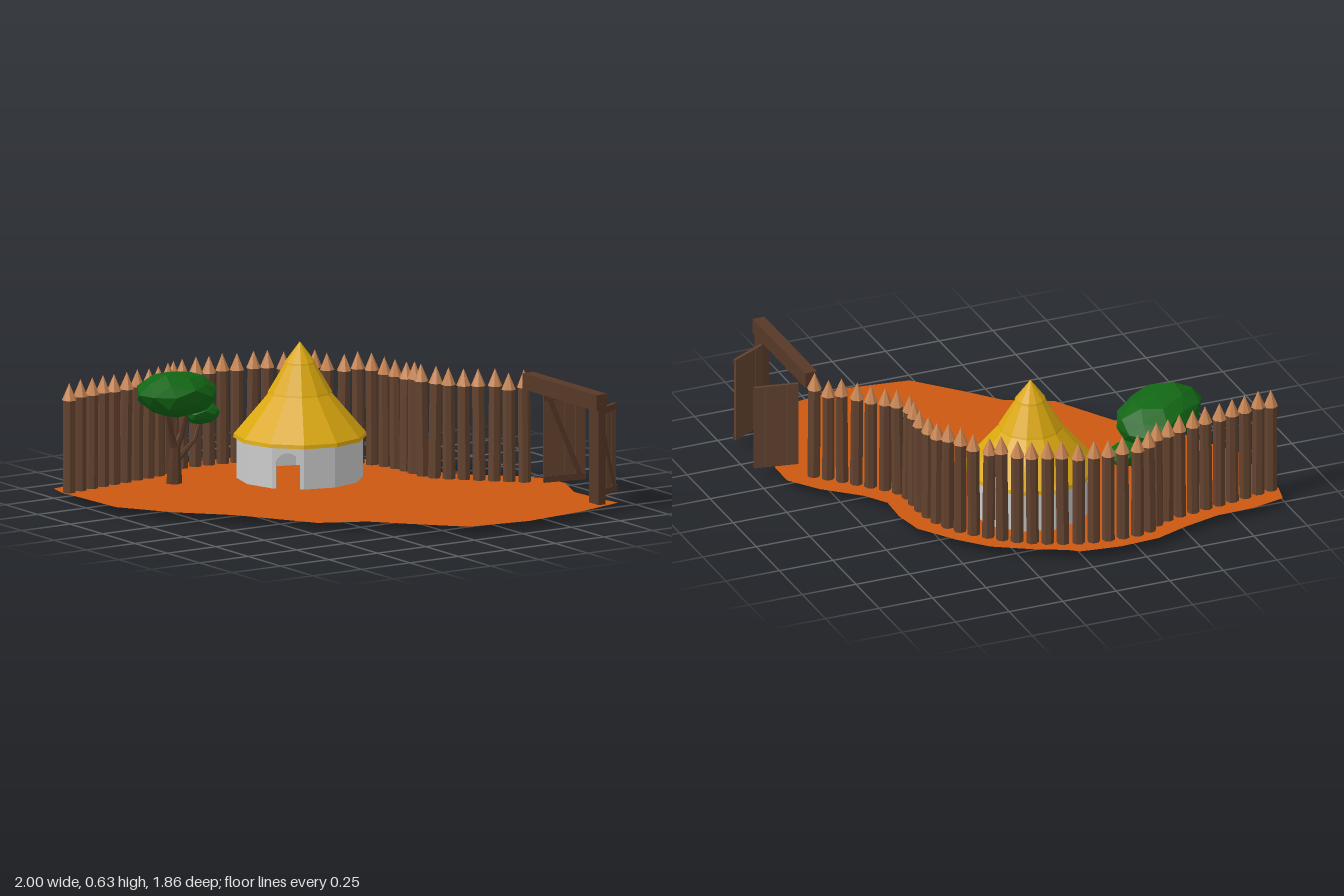
import * as THREE from 'three';

const mat = (color, side = THREE.FrontSide) =>
  new THREE.MeshStandardMaterial({ color, flatShading: true, side });
const WOOD = mat(0x64432f), DARK_WOOD = mat(0x573827), CUT_WOOD = mat(0xc98552);
const STRAW = mat(0xdba80f, THREE.DoubleSide), STONE = mat(0xcccccc);
const LEAF = mat(0x126615), EARTH = mat(0xcc5810, THREE.DoubleSide);
const GROUND_Y = 0.033;

let seed = 7;
const rand = () => (seed = (seed * 16807) % 2147483647) / 2147483647;

function add(parent, name, geometry, material, x = 0, y = 0, z = 0) {
  const m = new THREE.Mesh(geometry, material);
  m.name = name;
  m.position.set(x, y, z);
  parent.add(m);
  return m;
}

function group(parent, name, x = 0, y = 0, z = 0) {
  const g = new THREE.Group();
  g.name = name;
  g.position.set(x, y, z);
  parent.add(g);
  return g;
}

// Irregular patch of earth, outline given as x, z
function buildGround(parent) {
  const outline = [
    [-0.98, -0.78], [-0.83, -0.815], [-0.66, -0.82], [-0.49, -0.865], [-0.34, -0.92],
    [-0.16, -0.93], [0.02, -0.905], [0.065, -0.87], [0.19, -0.81], [0.355, -0.71],
    [0.465, -0.59], [0.575, -0.43], [0.6, -0.29], [0.595, -0.15], [0.66, -0.05],
    [0.81, 0.085], [0.905, 0.215], [0.905, 0.35], [0.835, 0.52], [0.845, 0.7],
    [0.865, 0.815], [0.63, 0.885], [0.33, 0.93], [0.045, 0.89], [-0.13, 0.7],
    [-0.255, 0.555], [-0.45, 0.46], [-0.65, 0.125], [-0.835, -0.07], [-0.98, -0.3], [-1, -0.69],
  ];
  const shape = new THREE.Shape(outline.map(([x, z]) => new THREE.Vector2(x, -z)));
  add(parent, 'ground', new THREE.ShapeGeometry(shape).rotateX(-Math.PI / 2), EARTH, 0, GROUND_Y, 0);
}

// Palisade: sharpened stakes spaced along a winding path
function buildPalisade(parent) {
  const fence = group(parent, 'palisade');
  const path = new THREE.CatmullRomCurve3([
    [-0.968, -0.677], [-0.785, -0.71], [-0.595, -0.74], [-0.465, -0.762], [-0.395, -0.787],
    [-0.342, -0.83], [-0.278, -0.848], [-0.145, -0.842], [-0.016, -0.82], [0.102, -0.773],
    [0.225, -0.703], [0.326, -0.612], [0.412, -0.516], [0.471, -0.398], [0.492, -0.265],
    [0.492, -0.131], [0.513, -0.067], [0.6, 0.03], [0.684, 0.12], [0.781, 0.217],
  ].map(([x, z]) => new THREE.Vector3(x, 0, z)));
  const stakeGeo = new THREE.CylinderGeometry(0.027, 0.028, 0.42, 7).translate(0, 0.21, 0);
  const tipGeo = new THREE.ConeGeometry(0.032, 0.075, 7).translate(0, 0.0375, 0);
  path.getSpacedPoints(36).forEach((p) => {
    const stake = group(fence, 'stake', p.x, 0.028, p.z);
    stake.rotation.set((rand() - 0.5) * 0.025, rand() * Math.PI * 2, (rand() - 0.5) * 0.025);
    stake.scale.y = 0.985 + rand() * 0.04;
    add(stake, 'stakeLog', stakeGeo, WOOD);
    add(stake, 'stakeTip', tipGeo, CUT_WOOD, 0, 0.41, 0);
  });
}

// Twelve-sided stone hut with an arched doorway and a tiered straw roof
function buildHut(parent) {
  const hut = group(parent, 'hut', 0.035, 0, -0.4);
  const R = 0.272, SIDES = 12, H = 0.2, T = 0.012;
  const half = R * Math.sin(Math.PI / SIDES);
  const apothem = R * Math.cos(Math.PI / SIDES);
  for (let i = 0; i < SIDES; i++) {
    const a = ((i + 0.5) / SIDES) * Math.PI * 2;
    const shape = new THREE.Shape();
    shape.moveTo(-half, 0).lineTo(half, 0).lineTo(half, H).lineTo(-half, H).closePath();
    const isDoor = i === 10;
    if (isDoor) {
      const hole = new THREE.Path();
      hole.moveTo(-0.052, 0.004).lineTo(-0.052, 0.11);
      hole.absarc(0, 0.11, 0.052, Math.PI, 0, true);
      hole.lineTo(0.052, 0.004).closePath();
      shape.holes.push(hole);
    }
    const geo = new THREE.ExtrudeGeometry(shape, { depth: T, bevelEnabled: false, curveSegments: 8 });
    const wall = add(hut, isDoor ? 'doorwayWall' : 'wall', geo, STONE,
      Math.sin(a) * (apothem - T), 0.027, Math.cos(a) * (apothem - T));
    wall.rotation.y = a;
  }
  const profile = [[0.262, 0.212], [0.287, 0.212], [0.284, 0.228], [0.125, 0.415], [0.139, 0.405],
    [0.136, 0.412], [0.06, 0.54], [0.068, 0.532], [0.065, 0.54], [0, 0.627]];
  add(hut, 'strawRoof',
    new THREE.LatheGeometry(profile.map(([r, y]) => new THREE.Vector2(r, y)), SIDES), STRAW);
}

// Tapered limb along a list of points [x, y, z, radius]
function limb(parent, name, points) {
  for (let i = 0; i + 1 < points.length; i++) {
    const a = new THREE.Vector3(...points[i]), b = new THREE.Vector3(...points[i + 1]);
    const dir = b.clone().sub(a);
    const geo = new THREE.CylinderGeometry(points[i + 1][3], points[i][3], dir.length() + 0.004, 7);
    const m = add(parent, name, geo, DARK_WOOD);
    m.position.copy(a).lerp(b, 0.5);
    m.quaternion.setFromUnitVectors(new THREE.Vector3(0, 1, 0), dir.normalize());
  }
}

// Faceted leaf clump: a squashed, slightly lumpy sphere
function clump(parent, name, pos, size, yaw, tilt) {
  const geo = new THREE.IcosahedronGeometry(1, 1);
  const p = geo.attributes.position;
  for (let i = 0; i < p.count; i++) {
    const k = 1 + 0.06 * Math.sin(p.getX(i) * 5 + p.getZ(i) * 3 + p.getY(i) * 4);
    p.setXYZ(i, p.getX(i) * k, p.getY(i) * k, p.getZ(i) * k);
  }
  geo.computeVertexNormals();
  const m = add(parent, name, geo, LEAF, ...pos);
  m.scale.set(...size);
  m.rotation.set(0, yaw, tilt);
}

function buildTree(parent) {
  const tree = group(parent, 'tree');
  limb(tree, 'trunk', [[-0.484, 0, -0.595, 0.022], [-0.484, 0.03, -0.595, 0.036],
    [-0.482, 0.1, -0.595, 0.03], [-0.478, 0.19, -0.595, 0.022]]);
  limb(tree, 'leftBranch', [[-0.478, 0.18, -0.595, 0.02], [-0.505, 0.25, -0.59, 0.015],
    [-0.535, 0.36, -0.575, 0.01]]);
  limb(tree, 'middleBranch', [[-0.478, 0.18, -0.595, 0.019], [-0.455, 0.25, -0.58, 0.014],
    [-0.44, 0.36, -0.56, 0.01]]);
  limb(tree, 'rightBranch', [[-0.478, 0.12, -0.595, 0.016], [-0.43, 0.16, -0.605, 0.013],
    [-0.36, 0.205, -0.62, 0.009], [-0.325, 0.29, -0.63, 0.007]]);
  clump(tree, 'largeCanopy', [-0.495, 0.433, -0.552], [0.228, 0.1, 0.165], 0.55, -0.1);
  clump(tree, 'smallCanopy', [-0.322, 0.317, -0.633], [0.098, 0.05, 0.077], 0.3, -0.08);
}

// Plank door with a rail at top and bottom and a diagonal brace, hinged at its local origin
function buildDoor(parent, name, x, z, yaw, width, side) {
  const door = group(parent, name, x, 0.045, z);
  door.rotation.y = yaw;
  const H = 0.385, n = 4, w = width / n;
  for (let i = 0; i < n; i++)
    add(door, 'plank', new THREE.BoxGeometry(w - 0.001, H, 0.01), WOOD, (i + 0.5) * w, H / 2, 0);
  const braceLength = Math.hypot(width - 0.05, H - 0.03);
  const brace = add(door, 'brace', new THREE.BoxGeometry(0.022, braceLength, 0.006), DARK_WOOD,
    width / 2, H / 2, side * 0.008);
  brace.rotation.z = Math.atan2(width - 0.05, H - 0.03);
  for (const y of [0.014, H - 0.014])
    add(door, 'rail', new THREE.BoxGeometry(width, 0.028, 0.006), DARK_WOOD, width / 2, y, side * 0.007);
}

function buildGate(parent) {
  const gate = group(parent, 'gate');
  add(gate, 'gatePost', new THREE.BoxGeometry(0.035, 0.445, 0.075), DARK_WOOD, 0.782, 0.2505, 0.777);
  add(gate, 'gateBeam', new THREE.BoxGeometry(0.055, 0.07, 0.57), DARK_WOOD, 0.782, 0.48, 0.527);
  buildDoor(gate, 'rearDoor', 0.805, 0.325, -0.18, 0.197, 1);
  buildDoor(gate, 'frontDoor', 0.805, 0.727, 0.5, 0.185, 1);
}

export function createModel() {
  const model = new THREE.Group();
  model.name = 'walledHut';
  buildGround(model);
  buildPalisade(model);
  buildHut(model);
  buildTree(model);
  buildGate(model);
  return model;
}
